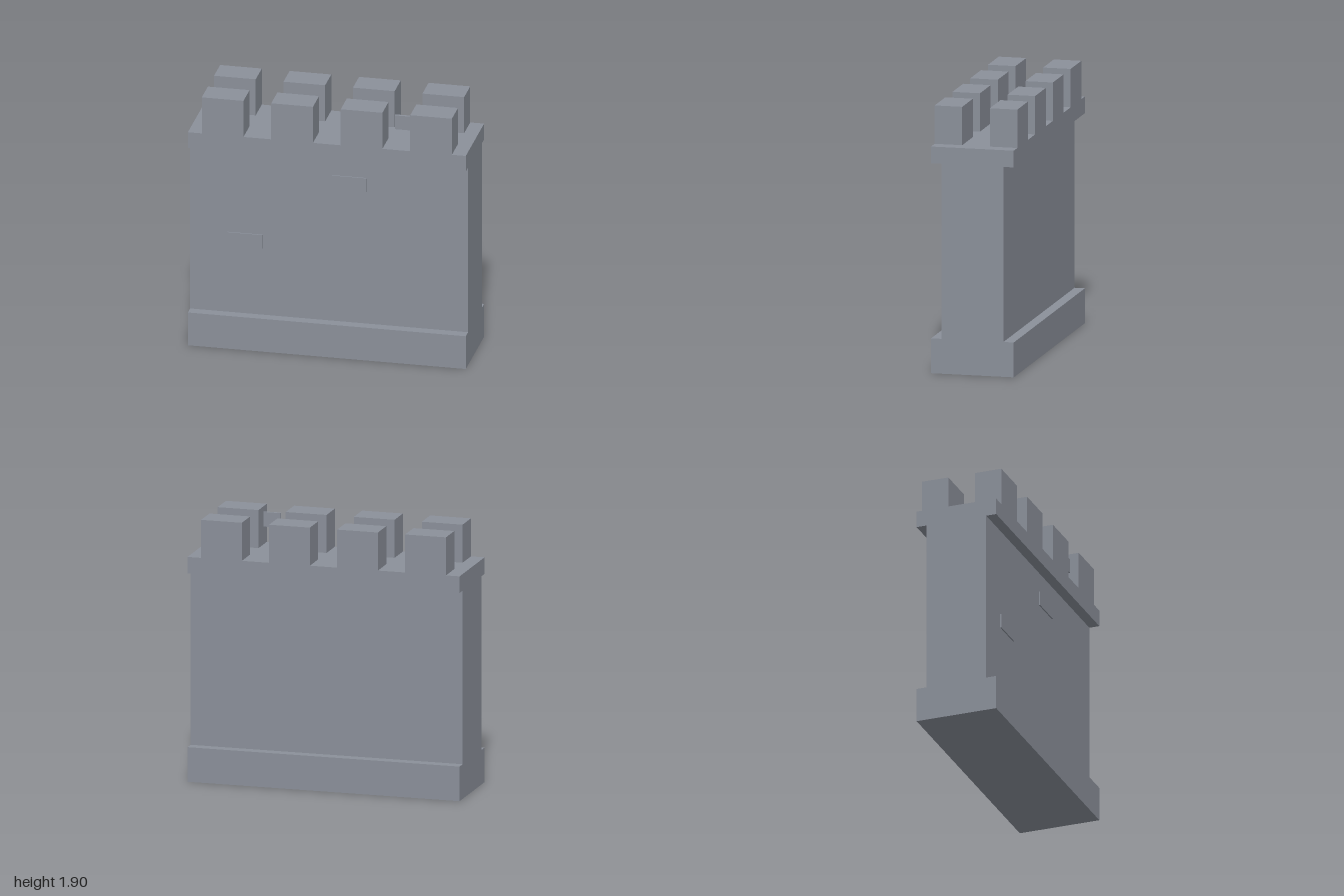
import * as THREE from 'three';

export function createModel() {
  const model = new THREE.Group();
  model.name = 'castleWall';
  const stone = new THREE.MeshStandardMaterial({ color: 0x8b909a });
  stone.name = 'greyStone';

  // Box with its base centre at (x, y, z)
  function block(name, w, h, d, x, y, z) {
    const mesh = new THREE.Mesh(new THREE.BoxGeometry(w, h, d), stone);
    mesh.name = name;
    mesh.position.set(x, y + h / 2, z);
    model.add(mesh);
  }

  // Plinth, wall and overhanging walkway
  block('plinth', 2, 0.25, 0.6, 0, 0, 0);
  block('wall', 2, 1.255, 0.45, 0, 0.25, 0);
  block('walkway', 2, 0.12, 0.6, 0, 1.505, 0);

  // Two rows of battlements
  for (const z of [-0.2, 0.2]) {
    for (const x of [-0.75, -0.25, 0.25, 0.75]) {
      block('merlon', 0.3, 0.275, 0.2, x, 1.625, z);
    }
  }

  // Slightly raised bricks, the last one jutting from a merlon's side
  for (const [x, y] of [[-0.605, 0.755], [0.147, 1.255], [0.6, 1.755]]) {
    block('raisedBrick', 0.25, 0.105, 0.02, x, y, 0.224);
  }

  return model;
}
